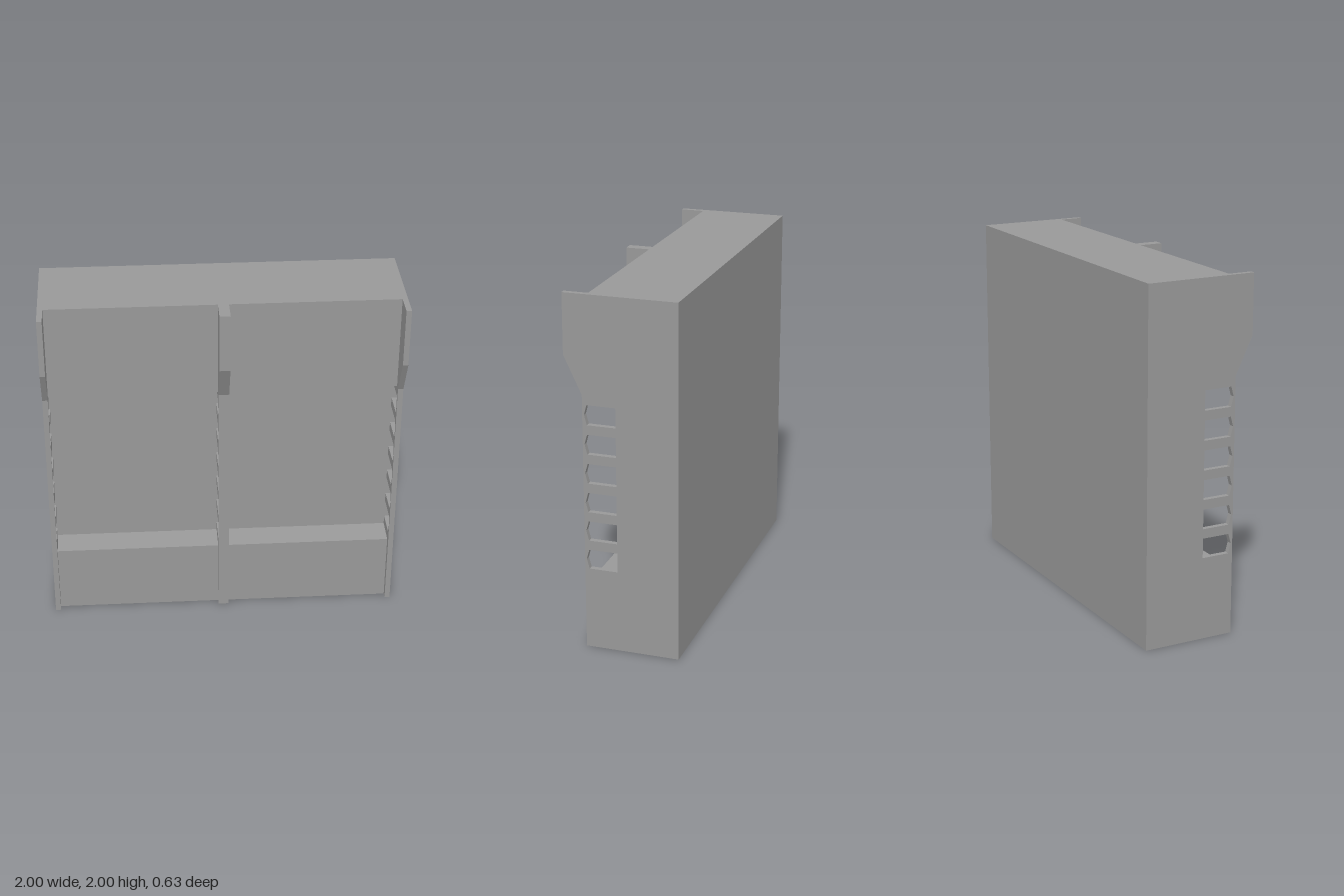
import * as THREE from 'three';

const BACK = -0.315;   // rear face
const PANEL = 0.03;    // recessed panel face
const BLOCK = 0.18;    // face of the header and plinth

const grey = new THREE.MeshStandardMaterial({ color: 0x999999 });
grey.name = 'plain grey';

const points = (list) => list.map(([z, y]) => new THREE.Vector2(z, y));

// Extrude a side profile given as [z, y] points across the width, centred on x
function sideExtrude(name, profile, width, x, holes = []) {
  const shape = new THREE.Shape(points(profile));
  for (const hole of holes) shape.holes.push(new THREE.Path(points(hole)));
  const geometry = new THREE.ExtrudeGeometry(shape, { depth: width, bevelEnabled: false });
  geometry.translate(0, 0, -width / 2);
  geometry.rotateY(-Math.PI / 2);
  const mesh = new THREE.Mesh(geometry, grey);
  mesh.name = name;
  mesh.position.x = x;
  return mesh;
}

// Fin outline with a wider head, starting from a chosen back edge
const finProfile = (back) => [
  [back, 0], [0.215, 0], [0.215, 1.455], [0.315, 1.665], [0.315, 2], [back, 2],
];

// Six slots with a pointed front end
function slots(back) {
  const list = [];
  for (let i = 0; i < 6; i++) {
    const low = 0.467 + i * 0.1646, high = low + 0.111;
    list.push([[back, low], [back, high], [0.19, high], [0.205, (low + high) / 2], [0.19, low]]);
  }
  return list;
}

export function createModel() {
  const model = new THREE.Group();
  model.name = 'slottedCabinet';

  // Body: plinth, recessed panel and header in one section
  model.add(sideExtrude('body', [
    [BACK, 0], [BLOCK, 0], [BLOCK, 0.405], [PANEL, 0.415],
    [PANEL, 1.455], [BLOCK, 1.455], [BLOCK, 2], [BACK, 2],
  ], 1.94, 0));

  // Side walls with open slots
  for (const side of [-1, 1]) {
    const name = side > 0 ? 'leftWall' : 'rightWall';
    model.add(sideExtrude(name, finProfile(BACK), 0.03, side * 0.985, slots(PANEL)));
  }

  // Centre fin, rooted just behind the panel face so its slots reach the panel
  model.add(sideExtrude('centreFin', finProfile(0), 0.06, 0, slots(0.015)));

  return model;
}
